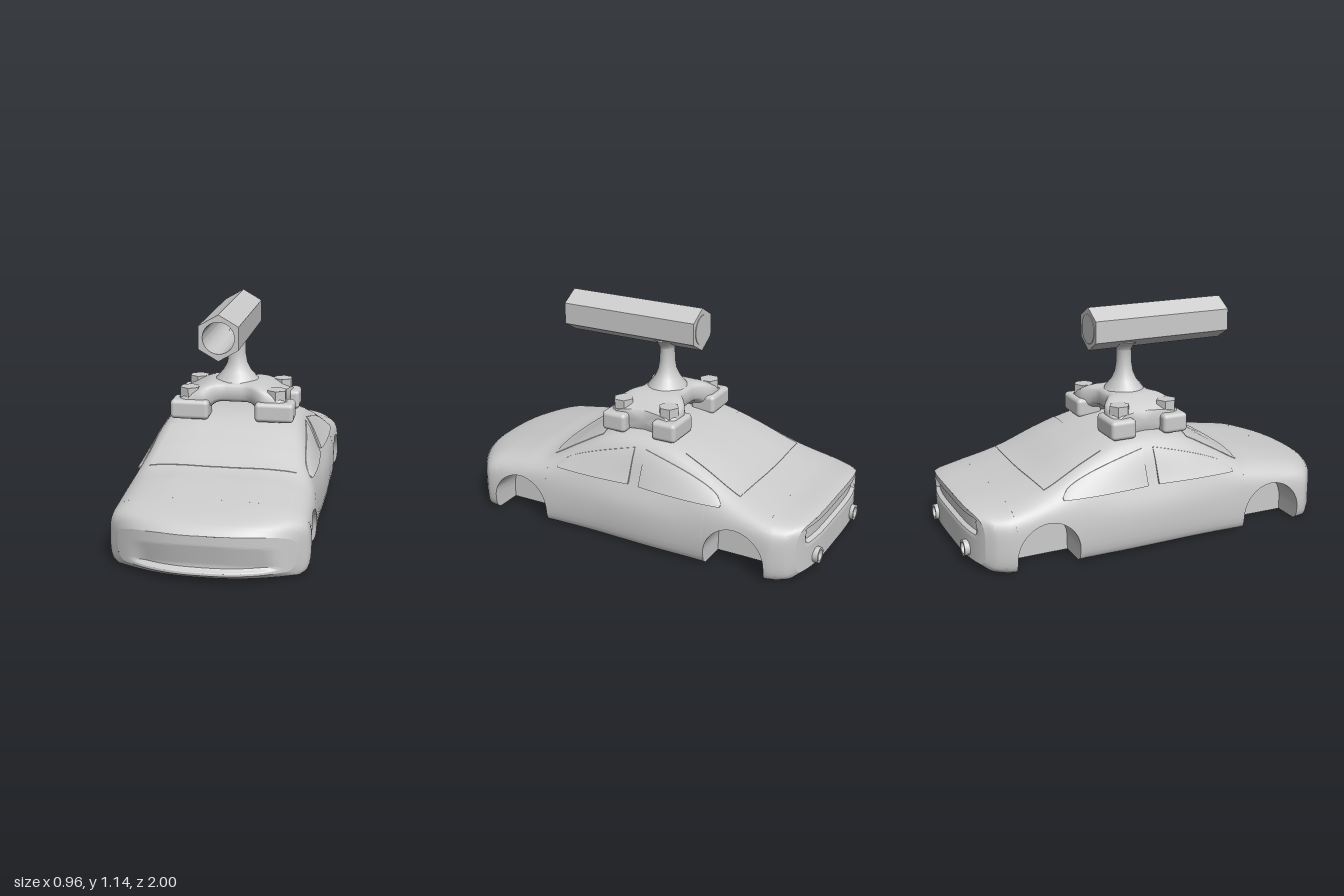
import * as THREE from 'three';
import { toCreasedNormals } from 'three/addons/utils/BufferGeometryUtils.js';
import { RoundedBoxGeometry } from 'three/addons/geometries/RoundedBoxGeometry.js';

const grey = new THREE.MeshStandardMaterial({ color: 0xcccccc });
const thin = new THREE.MeshStandardMaterial({ color: 0xcccccc, side: THREE.DoubleSide });
const { clamp, lerp, smoothstep } = THREE.MathUtils;

function add(parent, name, geometry, x = 0, y = 0, z = 0, material = grey) {
  const mesh = new THREE.Mesh(geometry, material);
  mesh.name = name;
  mesh.position.set(x, y, z);
  parent.add(mesh);
  return mesh;
}

// Surface through a grid of [x, y, z] rows
function loft(rows, crease = 0.6) {
  const n = rows[0].length, index = [];
  for (let i = 0; i < rows.length - 1; i++) {
    for (let j = 0; j < n - 1; j++) {
      const a = i * n + j, d = a + n;
      index.push(a, d, d + 1, a, d + 1, a + 1);
    }
  }
  const g = new THREE.BufferGeometry();
  g.setAttribute('position', new THREE.Float32BufferAttribute(rows.flat(2), 3));
  g.setIndex(index);
  return toCreasedNormals(g, crease);
}

// Body stations: z, floor y, half width, belt y, belt x, shoulder y, shoulder x, top y
const KEYS = [
  [0.995, 0.05, 0.42, 0.19, 0.41, 0.215, 0.36, 0.24],
  [0.95, 0.022, 0.45, 0.22, 0.44, 0.25, 0.39, 0.275],
  [0.85, 0.012, 0.47, 0.24, 0.455, 0.28, 0.40, 0.308],
  [0.60, 0.01, 0.475, 0.27, 0.455, 0.32, 0.40, 0.36],
  [0.46, 0.01, 0.47, 0.29, 0.45, 0.345, 0.395, 0.385],
  [0.30, 0.01, 0.465, 0.32, 0.435, 0.425, 0.37, 0.47],
  [0.15, 0.01, 0.465, 0.33, 0.43, 0.495, 0.35, 0.54],
  [0, 0.01, 0.47, 0.34, 0.425, 0.52, 0.34, 0.565],
  [-0.20, 0.01, 0.475, 0.34, 0.43, 0.51, 0.34, 0.552],
  [-0.40, 0.01, 0.475, 0.33, 0.44, 0.445, 0.36, 0.488],
  [-0.60, 0.01, 0.48, 0.30, 0.455, 0.36, 0.39, 0.392],
  [-0.80, 0.01, 0.48, 0.26, 0.465, 0.30, 0.42, 0.335],
  [-0.95, 0.025, 0.45, 0.25, 0.435, 0.285, 0.39, 0.318],
  [-0.985, 0.05, 0.41, 0.245, 0.40, 0.28, 0.365, 0.308],
];
const LAST = KEYS.length - 1;

// Smooth interpolation of the stations
function station(z) {
  let i = 0;
  while (i < LAST - 1 && z < KEYS[i + 1][0]) i++;
  const a = KEYS[i], b = KEYS[i + 1], h = b[0] - a[0], s = (z - a[0]) / h;
  const slope = (k, c) => {
    const p = KEYS[Math.max(k - 1, 0)], q = KEYS[Math.min(k + 1, LAST)];
    return (q[c] - p[c]) / (q[0] - p[0]);
  };
  return a.map((v, c) => v * (1 + 2 * s) * (1 - s) ** 2 + b[c] * s * s * (3 - 2 * s)
    + h * (slope(i, c) * s * (1 - s) ** 2 + slope(i + 1, c) * s * s * (s - 1)));
}

// Half outline at z, running from the rounded sill up to the centre line
function outline(z) {
  const [, f, w, y2, x2, y3, x3, top] = station(z);
  const pts = [[w - 0.035, f], [w - 0.01, f + 0.022], [w, lerp(f, y2, 0.6)], [x2, y2], [x3, y3],
    [x3 * 0.62, lerp(y3, top, 0.8)], [0, top]];
  return new THREE.CatmullRomCurve3(pts.map(([x, y]) => new THREE.Vector3(x, y, 0)));
}

function solve(curve, reached) {
  let lo = 0, hi = 1;
  for (let k = 0; k < 22; k++) {
    const mid = (lo + hi) / 2;
    if (reached(curve.getPoint(mid))) hi = mid; else lo = mid;
  }
  return hi;
}

// Rounds the nose and tail in plan
const bend = (x, z) => z - 0.17 * clamp((z - 0.76) / 0.235, 0, 1) ** 1.35 * Math.abs(x / 0.46) ** 2.4
  + 0.08 * clamp((-z - 0.82) / 0.165, 0, 1) * (x / 0.46) ** 4;

const ARCHES = [0.6, -0.64], ARCH_R = 0.16, ARCH_Y = 0.08, WELL_X = 0.3;

// Closed ring: floor, well wall and roof where an arch is open, then side and top
function section(z, archY) {
  const curve = outline(z), sill = curve.getPoint(0);
  const t0 = archY === null ? 0 : solve(curve, p => p.y >= archY);
  const edge = curve.getPoint(t0), inner = archY === null ? sill.x : WELL_X;
  const half = [];
  for (let j = 0; j <= 12; j++) half.push([inner * j / 12, sill.y]);
  half.push([inner, edge.y]);
  for (let j = 0; j <= 30; j++) {
    const p = curve.getPoint(lerp(t0, 1, j / 30));
    half.push([p.x, p.y]);
  }
  const ring = [...half, ...half.slice(0, -1).reverse().map(([x, y]) => [-x, y])];
  return ring.map(([x, y]) => [x, y, bend(x, z)]);
}

function bodyShell() {
  const stops = [];
  const span = (a, b, n) => {
    for (let i = 0; i <= n; i++) stops.push([lerp(a, b, i / n), null]);
  };
  const arch = c => {
    for (let i = 0; i <= 20; i++) {
      const a = Math.PI * i / 20;
      stops.push([c + ARCH_R * Math.cos(a), ARCH_Y + ARCH_R * Math.sin(a)]);
    }
  };
  span(0.995, ARCHES[0] + ARCH_R, 14);
  arch(ARCHES[0]);
  span(ARCHES[0] - ARCH_R, ARCHES[1] + ARCH_R, 32);
  arch(ARCHES[1]);
  span(ARCHES[1] - ARCH_R, -0.985, 14);
  return loft(stops.map(s => section(...s)));
}

// End panel, pushed in by inset(|x|, y)
function endPanel(z, inset) {
  const curve = outline(z), dir = Math.sign(z), rows = [];
  for (let i = 0; i <= 48; i++) {
    const p = curve.getPoint(i / 48), row = [];
    for (let j = 0; j <= 48; j++) {
      const x = dir * p.x * (1 - j / 24);
      row.push([x, p.y, bend(x, z) - dir * inset(Math.abs(x), p.y)]);
    }
    rows.push(row);
  }
  return loft(rows);
}

// Chin slopes back under a ridge that droops at the corners; the tail has a framed recess
const chin = (x, y) => 0.025 * clamp((0.195 - 0.25 * x * x - y) / 0.1, 0, 1)
  * smoothstep(y, 0.06, 0.078) * (1 - smoothstep(x, 0.26, 0.36));
const tail = (x, y) => 0.025 * smoothstep(y, 0.185, 0.197) * (1 - smoothstep(y, 0.263, 0.275))
  * (1 - smoothstep(x, 0.32, 0.35));

// Raised glass panel; place(u, v, rim) returns a point
function pane(place) {
  const rows = [], n = 18;
  for (let i = 0; i <= n; i++) {
    const row = [];
    for (let j = 0; j <= n; j++) {
      const rim = i === 0 || j === 0 || i === n || j === n;
      row.push(place(clamp((i - 1) / (n - 2), 0, 1), clamp((j - 1) / (n - 2), 0, 1), rim));
    }
    rows.push(row);
  }
  return loft(rows);
}

const sidePane = (side, z0, z1, height) => pane((u, v, rim) => {
  const z = lerp(z0, z1, u), y = 0.33 + height(u) * v, curve = outline(z);
  const x = curve.getPoint(solve(curve, p => p.y >= y)).x;
  const bulge = 0.003 + 0.02 * (1 - v) * Math.sin(Math.PI * lerp(0.08, 0.92, u)) ** 0.6;
  return [side * (x + (rim ? -0.006 : bulge)), y, z];
});

const screenPane = (z0, z1, w0, w1, bow) => pane((u, v, rim) => {
  const s = 2 * v - 1, x = s * lerp(w0, w1, u), z = lerp(z0, z1, u) - bow * s * s;
  const curve = outline(z);
  const y = curve.getPoint(solve(curve, p => p.x <= Math.abs(x))).y;
  return [x, y + (rim ? -0.005 : 0.003), z];
});

// Arched saddle joining the four feet, swept across x
function saddle() {
  const rows = [];
  for (let i = 0; i <= 32; i++) {
    const x = lerp(-0.3, 0.3, i / 32), a = Math.abs(x);
    const top = 0.718 - 0.068 * smoothstep(a, 0.1, 0.32);
    const bottom = 0.607 - 0.055 * smoothstep(a, 0.08, 0.17);
    const depth = 0.125 + 0.06 * smoothstep(a, 0.05, 0.17) - 0.05 * smoothstep(a, 0.25, 0.3);
    const row = [];
    for (let j = 0; j <= 24; j++) {
      const t = j / 24 * Math.PI * 2, c = Math.cos(t), s = Math.sin(t);
      const e = v => (i === 0 || i === 32 ? 0 : Math.sign(v) * Math.abs(v) ** 0.5);
      // the sides are waisted between the feet
      const waist = 1 - 0.13 * smoothstep(a, 0.2, 0.3) * (1 - Math.abs(e(c)));
      row.push([x * waist, (top + bottom) / 2 + e(s) * (top - bottom) / 2, -e(c) * depth]);
    }
    rows.push(row);
  }
  return loft(rows, 0.8);
}

const lathe = (pts, n) => toCreasedNormals(
  new THREE.LatheGeometry(pts.map(p => new THREE.Vector2(...p)), n), 0.6);

export function createModel() {
  const model = new THREE.Group();
  const car = new THREE.Group(), mount = new THREE.Group();
  car.name = 'car';
  mount.name = 'roofMount';
  mount.position.z = -0.028;
  model.add(car, mount);

  // Car body, ends and glass
  add(car, 'bodyShell', bodyShell());
  add(car, 'frontBumper', endPanel(0.995, chin));
  add(car, 'rearPanel', endPanel(-0.985, tail));
  add(car, 'windshield', screenPane(0.2, 0.46, 0.31, 0.365, 0.025), 0, 0, 0, thin);
  add(car, 'rearWindow', screenPane(-0.32, -0.64, 0.31, 0.36, -0.02), 0, 0, 0, thin);
  for (const side of [1, -1]) {
    add(car, 'frontSideWindow', sidePane(side, 0.38, -0.04, u => 0.01 + 0.16 * u ** 0.6), 0, 0, 0, thin);
    add(car, 'rearSideWindow', sidePane(side, -0.1, -0.55, u => 0.01 + 0.16 * (1 - u) ** 0.6), 0, 0, 0, thin);
    const pipe = lathe([[0.04, -0.1], [0.04, 0], [0.028, 0], [0.028, -0.06], [0, -0.06]], 20);
    add(car, 'exhaustPipe', pipe, side * 0.25, 0.095, -1, thin).rotation.x = -Math.PI / 2;
  }

  // Roof mount: saddle, feet, bolts and post
  add(mount, 'saddle', saddle(), 0, 0, 0, thin);
  for (const sx of [1, -1]) {
    for (const sz of [1, -1]) {
      add(mount, 'foot', new RoundedBoxGeometry(0.2, 0.1, 0.135, 4, 0.022), sx * 0.218, 0.587, sz * 0.142);
      const bolt = new THREE.CylinderGeometry(0.053, 0.053, 0.13, 6).toNonIndexed();
      bolt.computeVertexNormals();
      add(mount, 'hexBolt', bolt, sx * 0.225, 0.63, sz * 0.13);
    }
  }
  const post = lathe([[0.13, 0.69], [0.11, 0.72], [0.075, 0.76], [0.054, 0.8], [0.045, 0.85],
    [0.043, 0.92], [0.058, 0.945], [0.078, 0.965], [0.05, 0.975], [0, 0.975]], 20);
  add(mount, 'post', post).scale.z = 0.88;

  // Hexagonal launch tube, open at the front
  const hex = new THREE.Shape();
  for (let i = 0; i < 6; i++) {
    const a = Math.PI / 2 + i * Math.PI / 3;
    hex[i ? 'lineTo' : 'moveTo'](0.111 * Math.cos(a), 0.111 * Math.sin(a));
  }
  hex.holes.push(new THREE.Path().absarc(0, 0, 0.076, 0, Math.PI * 2, true));
  const barrel = new THREE.ExtrudeGeometry(hex, { depth: 0.753, bevelEnabled: false, curveSegments: 32 });
  add(model, 'hexTube', toCreasedNormals(barrel, 0.5), 0, 1.04, -0.225);
  const plug = new THREE.CylinderGeometry(0.076, 0.076, 0.03, 32);
  add(model, 'rearPlug', plug, 0, 1.04, -0.213).rotation.x = Math.PI / 2;
  return model;
}
